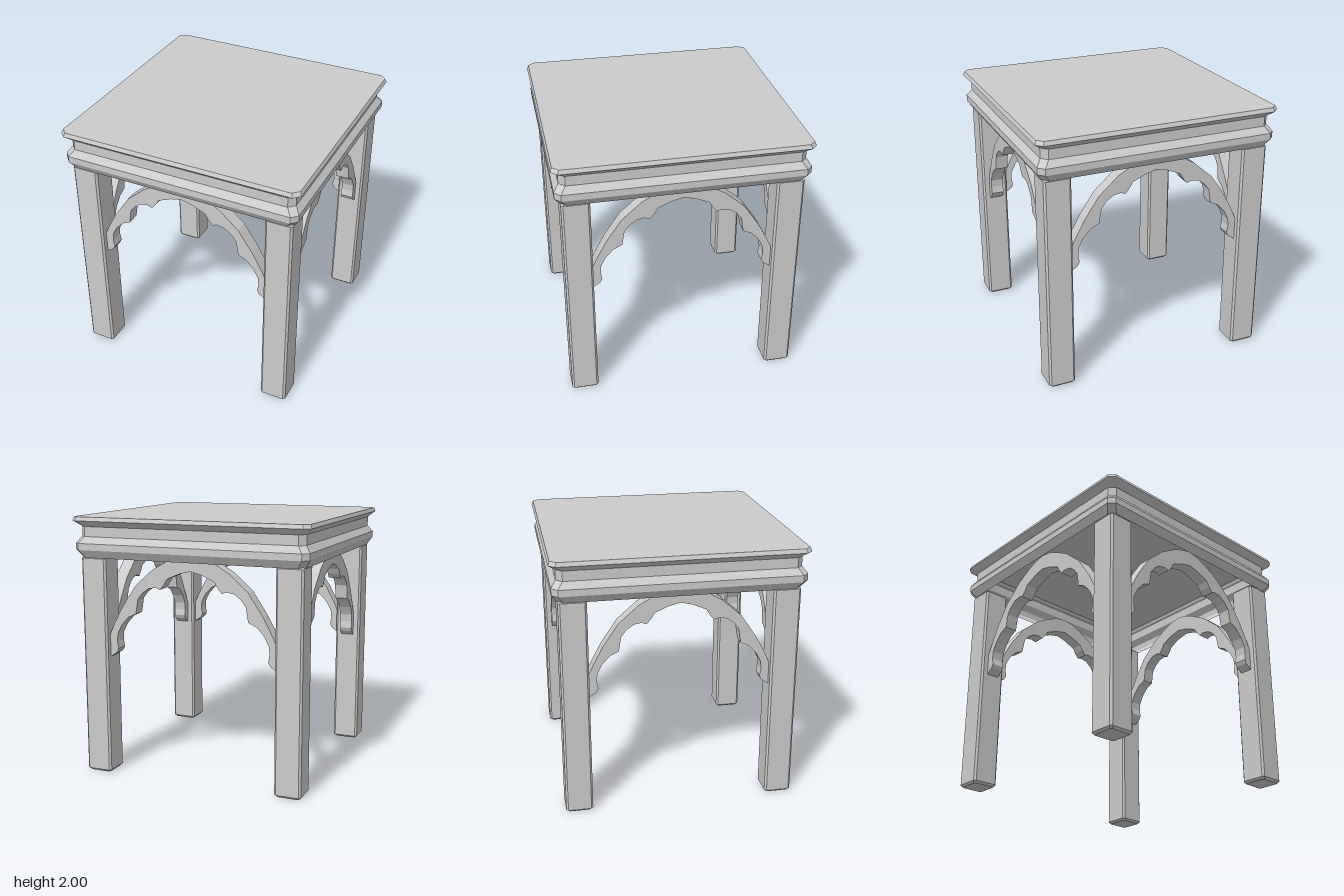
import * as THREE from 'three';

const material = new THREE.MeshStandardMaterial({ color: 0xcccccc, flatShading: true });
const shellMaterial = new THREE.MeshStandardMaterial({ color: 0xcccccc, flatShading: true, side: THREE.DoubleSide });

// Stacks square sections with cut corners: each profile entry is [halfWidth, y].
function chamferedStack(profile, cut, closeBottom) {
  const positions = [];
  const rings = profile.map(([h, y]) => {
    const c = h - cut;
    return [[h, -c], [h, c], [c, h], [-c, h], [-h, c], [-h, -c], [-c, -h], [c, -h]]
      .map(([x, z]) => [x, y, z]);
  });
  const face = (...corners) => corners.forEach((p) => positions.push(...p));
  for (let r = 0; r < rings.length - 1; r++) {
    for (let i = 0; i < 8; i++) {
      const j = (i + 1) % 8, low = rings[r], high = rings[r + 1];
      face(low[i], high[i], high[j]);
      face(low[i], high[j], low[j]);
    }
  }
  const top = rings[rings.length - 1], bottom = rings[0];
  for (let i = 1; i < 7; i++) {
    face(top[0], top[i + 1], top[i]);
    if (closeBottom) face(bottom[0], bottom[i], bottom[i + 1]);
  }
  const geometry = new THREE.BufferGeometry();
  geometry.setAttribute('position', new THREE.Float32BufferAttribute(positions, 3));
  geometry.computeVertexNormals();
  return geometry;
}

// Scalloped arch: left halves of the edges, mirrored about x = 0.
function archGeometry(depth) {
  const outer = [[-0.69, 1.08], [-0.64, 1.19], [-0.57, 1.32], [-0.455, 1.49],
    [-0.307, 1.62], [-0.185, 1.69], [-0.09, 1.73], [0, 1.745]];
  const inner = [[0, 1.62], [-0.085, 1.6], [-0.19, 1.555], [-0.217, 1.51], [-0.25, 1.472],
    [-0.285, 1.485], [-0.345, 1.475], [-0.4, 1.435], [-0.437, 1.385], [-0.445, 1.335],
    [-0.455, 1.275], [-0.52, 1.245], [-0.58, 1.18], [-0.615, 1.11], [-0.62, 1.05],
    [-0.61, 0.995], [-0.625, 0.965], [-0.69, 0.92]];
  const mirror = (points) => points.map(([x, y]) => [-x, y]).reverse();
  const outline = [...outer, ...mirror(outer).slice(1), ...mirror(inner), ...inner.slice(1)];
  const shape = new THREE.Shape(outline.map(([x, y]) => new THREE.Vector2(x, y)));
  const geometry = new THREE.ExtrudeGeometry(shape, { depth, bevelEnabled: false });
  geometry.translate(0, 0, -depth / 2);
  return geometry;
}

export function createModel() {
  const model = new THREE.Group();
  model.name = 'sideTable';
  const legCentre = 0.782;

  const add = (name, geometry, mat) => {
    const mesh = new THREE.Mesh(geometry, mat);
    mesh.name = name;
    model.add(mesh);
    return mesh;
  };

  // Hollow moulded top, open underneath
  add('tabletop', chamferedStack([
    [0.887, 1.69], [0.927, 1.75], [0.927, 1.8], [0.89, 1.85],
    [0.89, 1.925], [0.942, 1.97], [0.93, 2],
  ], 0.045, false), shellMaterial);

  // Four chamfered legs
  const legGeometry = chamferedStack([[0.088, 0], [0.103, 0.017], [0.103, 1.685], [0.09, 1.7]], 0.015, true);
  for (const [name, sx, sz] of [['frontLeftLeg', 1, 1], ['frontRightLeg', -1, 1],
    ['backLeftLeg', 1, -1], ['backRightLeg', -1, -1]]) {
    add(name, legGeometry, material).position.set(sx * legCentre, 0, sz * legCentre);
  }

  // One arch between each pair of legs
  const arch = archGeometry(0.1);
  ['frontArch', 'leftArch', 'backArch', 'rightArch'].forEach((name, i) => {
    const mesh = add(name, arch, material);
    const angle = (i * Math.PI) / 2;
    mesh.rotation.y = angle;
    mesh.position.set(Math.sin(angle) * legCentre, 0, Math.cos(angle) * legCentre);
  });

  return model;
}
